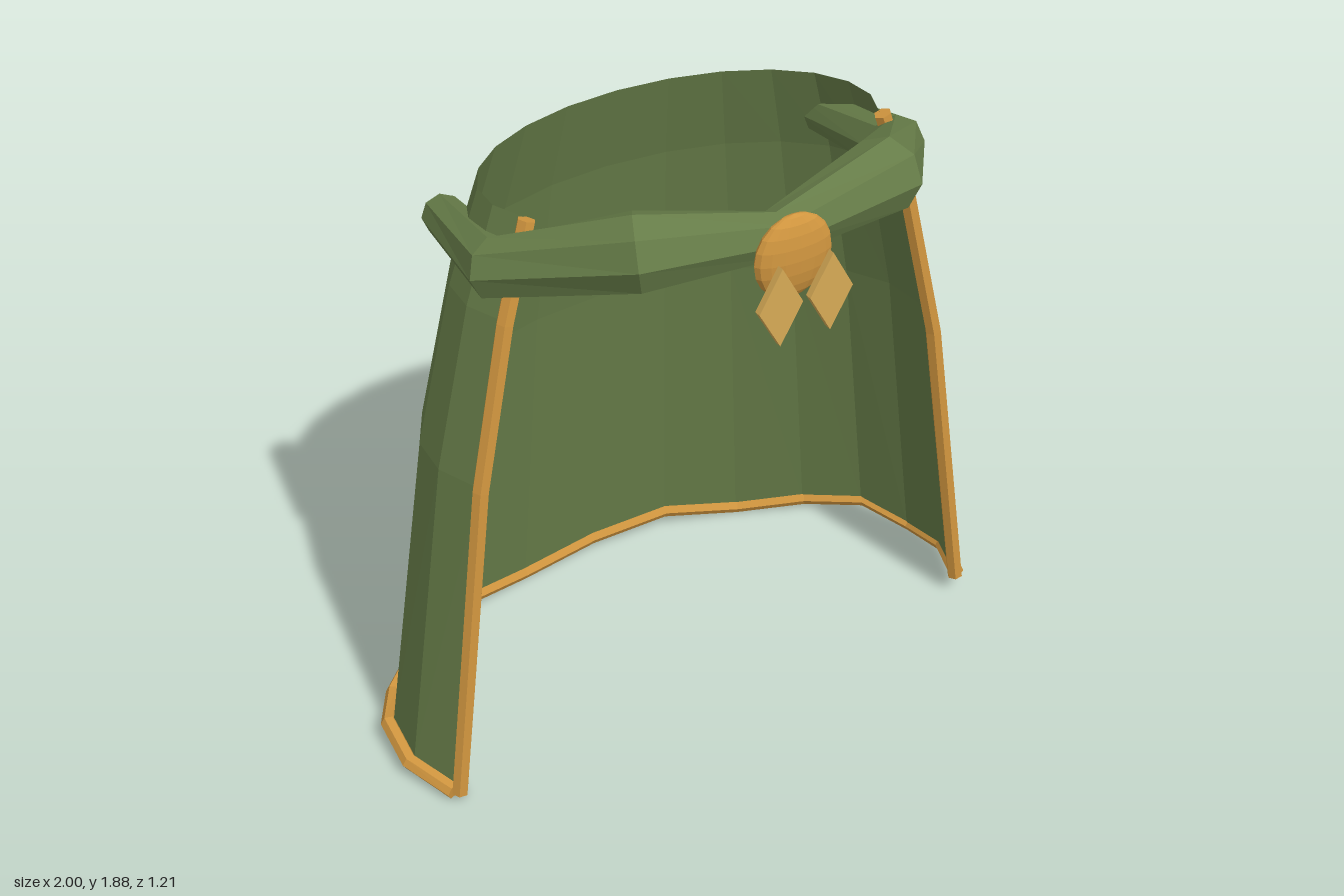
import * as THREE from 'three';

const mat = (name, color, extra = {}) => {
  const m = new THREE.MeshStandardMaterial({ color, flatShading: true, ...extra });
  m.name = name;
  return m;
};

// Turn points and triangle indices into a faceted geometry
function faceted(points, index) {
  const g = new THREE.BufferGeometry().setFromPoints(points);
  g.setIndex(index);
  const flat = g.toNonIndexed();
  flat.computeVertexNormals();
  return flat;
}

// Sweep a polygon along a polyline, one radius per point, with closed ends
function sweep(path, radii, sides, up) {
  const pts = [], idx = [], last = path.length - 1;
  path.forEach((p, i) => {
    const t = new THREE.Vector3();
    if (i > 0) t.add(p.clone().sub(path[i - 1]).normalize());
    if (i < last) t.add(path[i + 1].clone().sub(p).normalize());
    t.normalize();
    const side = up.clone().cross(t).normalize();
    const top = t.clone().cross(side);
    for (let j = 0; j < sides; j++) {
      const a = (j / sides) * Math.PI * 2, r = radii[i];
      pts.push(p.clone().addScaledVector(side, r * Math.cos(a)).addScaledVector(top, r * Math.sin(a)));
    }
  });
  const first = pts.length, end = first + 1, base = last * sides;
  pts.push(path[0].clone(), path[last].clone());
  for (let j = 0; j < sides; j++) {
    const k = (j + 1) % sides;
    for (let i = 0; i < last; i++) {
      const a = i * sides + j, b = i * sides + k;
      idx.push(a, b, b + sides, a, b + sides, a + sides);
    }
    idx.push(first, k, j, end, base + j, base + k);
  }
  return faceted(pts, idx);
}

export function createModel() {
  const model = new THREE.Group();
  model.name = 'cloak';
  const green = mat('greenCloth', 0x667c48, { side: THREE.DoubleSide });
  const gold = mat('goldTrim', 0xd1963f);
  const paleGold = mat('paleGold', 0xd6aa56);
  const add = (name, geometry, material) => {
    const m = new THREE.Mesh(geometry, material);
    m.name = name;
    model.add(m);
    return m;
  };
  const V = (x, y, z) => new THREE.Vector3(x, y, z);
  const Y = V(0, 1, 0), Z = V(0, 0, 1);

  // Cloak body: open elliptical rings [y, x radius, z radius], wavy at the hem
  const half = 7, step = 1.95 / half;
  const rings = [[1.8, 0.595, 0.355], [1.53, 0.69, 0.42], [1.05, 0.81, 0.488], [0.05, 0.967, 0.575]];
  const ringPoint = (r, j, grow = 1) => {
    const [y, rx, rz] = rings[r], a = j * step;
    const wave = r === 3 ? 0.0225 * Math.sin(j * Math.PI * 2 / 3) : 0;
    return V(grow * rx * Math.sin(a), y + wave, -grow * rz * Math.cos(a));
  };
  const pts = [], idx = [], cols = half * 2 + 1;
  for (let r = 0; r < rings.length; r++) {
    for (let j = -half; j <= half; j++) pts.push(ringPoint(r, j));
  }
  for (let r = 0; r < rings.length - 1; r++) {
    for (let j = 0; j < cols - 1; j++) {
      const a = r * cols + j, d = a + cols;
      idx.push(a, a + 1, d + 1, a, d + 1, d);
    }
  }
  add('cloakBody', faceted(pts, idx), green);

  // Gold edging along the hem and both front edges
  const hem = [];
  for (let j = -half; j <= half; j++) hem.push(ringPoint(3, j, 1.015));
  add('hemTrim', sweep(hem, hem.map(() => 0.025), 6, Y), gold);
  for (const s of [1, -1]) {
    const edge = rings.map((_, r) => ringPoint(r, s * half).add(V(0, 0, 0.015)));
    add(s > 0 ? 'leftFrontTrim' : 'rightFrontTrim', sweep(edge, edge.map(() => 0.025), 6, Z), gold);
  }

  // Rolled collar, thick over the chest and tapering past the shoulders
  const side = [[0.38, 1.78, 0.4, 0.107], [0.635, 1.665, 0.11, 0.085], [0.6, 1.63, -0.265, 0.058]];
  const collar = [
    ...side.slice().reverse().map(([x, y, z, r]) => [-x, y, z, r]),
    [0, 1.74, 0.45, 0.064],
    ...side,
  ];
  add('collar', sweep(collar.map(([x, y, z]) => V(x, y, z)), collar.map(c => c[3]), 8, Y), green);

  // Round clasp
  const clasp = add('clasp', new THREE.SphereGeometry(0.12, 16, 10), gold);
  clasp.scale.set(0.98, 1, 0.32);
  clasp.position.set(0, 1.72, 0.532);

  // Two diamond pendants
  const diamond = new THREE.CylinderGeometry(1, 1, 0.02, 4).rotateX(Math.PI / 2).scale(0.066, 0.115, 1);
  for (const s of [1, -1]) {
    add(s > 0 ? 'leftPendant' : 'rightPendant', diamond, paleGold).position.set(s * 0.077, 1.622, 0.59);
  }
  return model;
}
